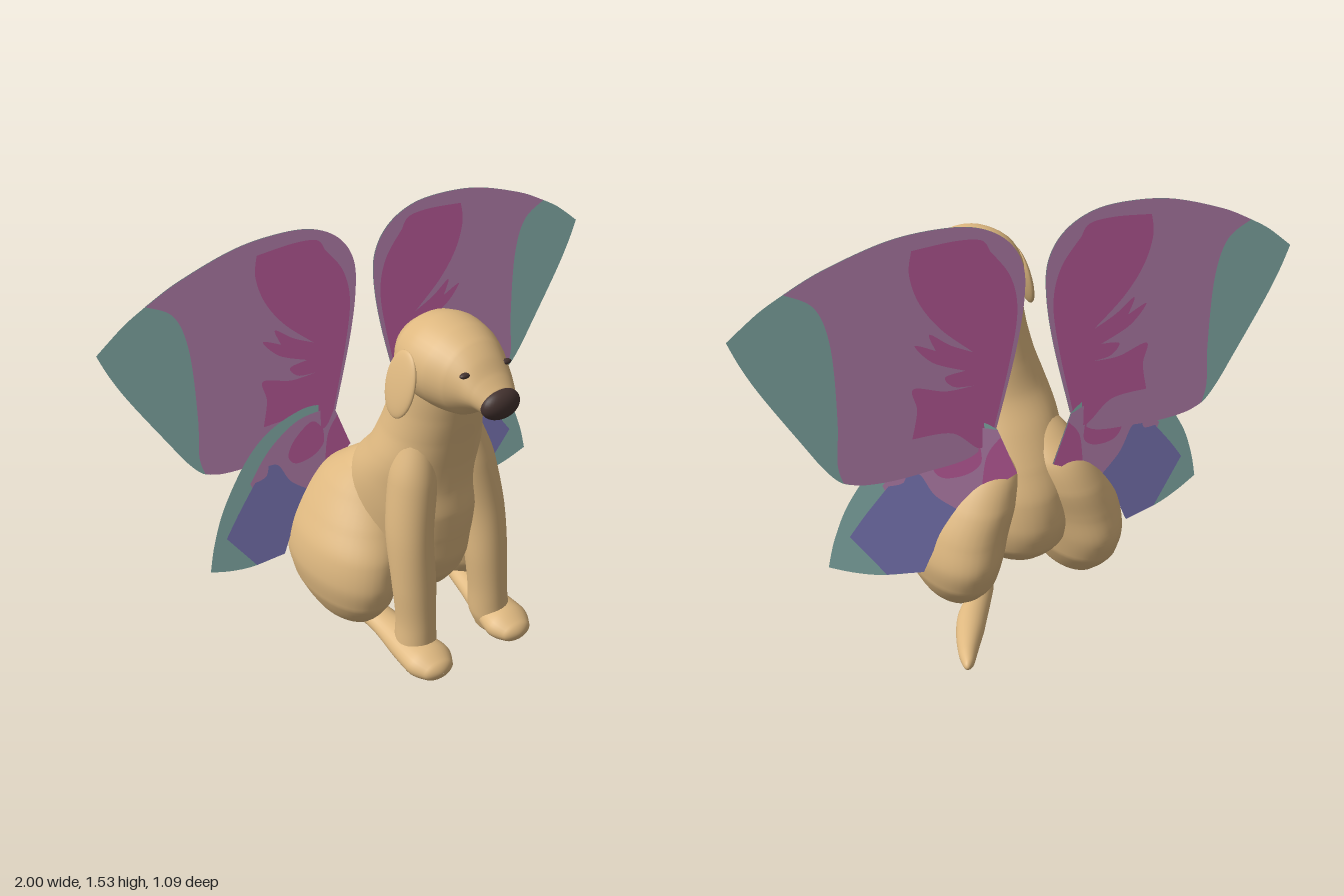
import * as THREE from 'three';
import { mergeGeometries } from 'three/addons/utils/BufferGeometryUtils.js';

const mat = (name, color, side = THREE.FrontSide) => {
  const m = new THREE.MeshStandardMaterial({ color, side });
  m.name = name;
  return m;
};

// Smooth skin through elliptical rings [x, y, z, radiusX, radius2], with rounded ends.
// Upright lofts run bottom to top; level lofts run front to back.
function loft(keys, upright, sides = 40, perKey = 8) {
  const centre = new THREE.CatmullRomCurve3(keys.map(k => new THREE.Vector3(k[0], k[1], k[2])));
  const radii = new THREE.CatmullRomCurve3(keys.slice(1, -1).map(k => new THREE.Vector3(k[3], k[4], 0)));
  const spans = keys.length - 1, rings = spans * perKey;
  const pos = [], idx = [];
  for (let i = 0; i <= rings; i++) {
    // In the first and last span the radius grows as the root of the distance
    const s = i / perKey, e = Math.min(1, s, spans - s);
    const t = s < 1 ? s * s : s > spans - 1 ? spans - e * e : s;
    const c = centre.getPoint(t / spans);
    const r = radii.getPoint(THREE.MathUtils.clamp((s - 1) / (spans - 2), 0, 1));
    const rx = Math.max(r.x * e, 0.0005), r2 = Math.max(r.y * e, 0.0005);
    for (let j = 0; j < sides; j++) {
      const a = (j / sides) * Math.PI * 2, u = rx * Math.cos(a), v = r2 * Math.sin(a);
      if (upright) pos.push(c.x + u, c.y, c.z + v);
      else pos.push(c.x + u, c.y + v, c.z);
      if (i < rings) {
        const n = (j + 1) % sides, p = i * sides, q = p + sides;
        idx.push(p + j, q + j, p + n, q + j, q + n, p + n);
      }
    }
  }
  const g = new THREE.BufferGeometry();
  g.setAttribute('position', new THREE.Float32BufferAttribute(pos, 3));
  g.setIndex(idx);
  g.computeVertexNormals();
  return g;
}

// Closed outline made of smooth runs that meet at sharp corners
function outline(side, ...runs) {
  const shape = new THREE.Shape();
  const v = p => new THREE.Vector2(p[0] * side, p[1]);
  shape.moveTo(runs[0][0][0] * side, runs[0][0][1]);
  runs.forEach((run, i) => shape.splineThru((i ? run : run.slice(1)).map(v)));
  return shape;
}

export function createModel() {
  const fur = mat('tan fur', 0xdeb880);
  const dark = mat('dark nose', 0x43322f);
  const teal = mat('wing teal', 0xa3d6d1, THREE.DoubleSide);
  const pink = mat('wing pink', 0xdc9cd2, THREE.DoubleSide);
  const magenta = mat('wing magenta', 0xe270bc, THREE.DoubleSide);
  const blue = mat('wing blue', 0x9692de, THREE.DoubleSide);

  const model = new THREE.Group();
  model.name = 'wingedDog';
  const add = (name, geometry, material, parent = model) => {
    const m = new THREE.Mesh(geometry, material);
    m.name = name;
    parent.add(m);
    return m;
  };
  const ball = (name, material, p, r, tilt = 0) => {
    const m = add(name, new THREE.SphereGeometry(1, 32, 20), material);
    m.position.set(...p);
    m.scale.set(...r);
    m.rotation.z = tilt;
  };
  // Painted wing layer: one face on each side, higher levels lie further out
  const plate = (name, shape, material, level, parent) => {
    const faces = [-1, 1].map(d => new THREE.ShapeGeometry(shape, 32).translate(0, 0, d * 0.001 * level));
    add(name, mergeGeometries(faces), material, parent);
  };

  // Torso and neck
  add('torso', loft([
    [0, 0.19, -0.02, 0, 0], [0, 0.23, -0.03, 0.15, 0.23], [0, 0.3, -0.04, 0.2, 0.29],
    [0, 0.4, -0.03, 0.22, 0.315], [0, 0.5, -0.01, 0.225, 0.31], [0, 0.6, 0.025, 0.228, 0.285],
    [0, 0.7, 0.06, 0.224, 0.24], [0, 0.8, 0.108, 0.206, 0.197], [0, 0.9, 0.14, 0.176, 0.18],
    [0, 1.0, 0.168, 0.157, 0.17], [0, 1.1, 0.19, 0.148, 0.16], [0, 1.2, 0.19, 0.135, 0.138],
    [0, 1.27, 0.19, 0.1, 0.1], [0, 1.3, 0.19, 0, 0],
  ], true), fur);

  // Head, muzzle and nose
  add('head', loft([
    [0, 1.135, 0.52, 0, 0], [0, 1.138, 0.5, 0.066, 0.048], [0, 1.157, 0.46, 0.088, 0.064],
    [0, 1.168, 0.42, 0.106, 0.096], [0, 1.17, 0.37, 0.132, 0.13], [0, 1.177, 0.3, 0.158, 0.148],
    [0, 1.18, 0.22, 0.169, 0.155], [0, 1.185, 0.14, 0.152, 0.134], [0, 1.19, 0.085, 0.11, 0.09],
    [0, 1.2, 0.052, 0, 0],
  ], false), fur);
  ball('nose', dark, [0, 1.135, 0.502], [0.073, 0.051, 0.042]);

  // Tail lying on the ground
  add('tail', loft([
    [0.12, 0.1, -0.13, 0, 0], [0.17, 0.09, -0.19, 0.05, 0.045], [0.24, 0.075, -0.28, 0.062, 0.047],
    [0.29, 0.07, -0.37, 0.055, 0.044], [0.34, 0.07, -0.47, 0.036, 0.033], [0.362, 0.07, -0.525, 0.02, 0.02],
    [0.37, 0.07, -0.543, 0, 0],
  ], false, 24), fur);

  for (const s of [1, -1]) {
    const side = s > 0 ? 'left' : 'right';
    const mirror = keys => keys.map(([x, ...rest]) => [x * s, ...rest]);

    // Haunch, front leg and long hind foot
    add(side + 'Haunch', loft(mirror([
      [0.24, 0.055, -0.07, 0, 0], [0.245, 0.1, -0.07, 0.098, 0.175], [0.245, 0.2, -0.08, 0.147, 0.262],
      [0.24, 0.3, -0.085, 0.166, 0.286], [0.215, 0.4, -0.085, 0.173, 0.27], [0.172, 0.5, -0.1, 0.163, 0.234],
      [0.13, 0.6, -0.1, 0.136, 0.18], [0.1, 0.68, -0.06, 0.1, 0.12], [0.09, 0.74, -0.03, 0, 0],
    ]), true), fur);
    add(side + 'FrontLeg', loft(mirror([
      [0.17, 0, 0.3, 0, 0], [0.172, 0.035, 0.305, 0.058, 0.07], [0.17, 0.1, 0.29, 0.074, 0.082],
      [0.165, 0.2, 0.283, 0.07, 0.08], [0.163, 0.35, 0.268, 0.078, 0.083], [0.158, 0.55, 0.235, 0.081, 0.093],
      [0.125, 0.75, 0.208, 0.085, 0.092], [0.095, 0.9, 0.185, 0.065, 0.08], [0.08, 1.0, 0.18, 0, 0],
    ]), true), fur);
    add(side + 'HindFoot', loft(mirror([
      [0.18, 0.075, 0.472, 0, 0], [0.18, 0.074, 0.45, 0.06, 0.036], [0.182, 0.078, 0.38, 0.09, 0.056],
      [0.19, 0.082, 0.28, 0.078, 0.054], [0.2, 0.095, 0.15, 0.06, 0.042], [0.22, 0.11, 0, 0.05, 0.04],
      [0.23, 0.12, -0.06, 0, 0],
    ]), false, 28), fur);

    // Floppy ear and eye
    ball(side + 'Ear', fur, [0.181 * s, 1.133, 0.215], [0.018, 0.117, 0.076], 0.25 * s);
    ball(side + 'Eye', dark, [0.083 * s, 1.226, 0.424], [0.019, 0.009, 0.012]);

    // Upper wing
    const upper = new THREE.Group();
    upper.name = side + 'UpperWing';
    upper.position.z = -0.26;
    model.add(upper);
    const inner = [[0.14, 0.8], [0.07, 1.07], [0.04, 1.25], [0.045, 1.37], [0.1, 1.46], [0.2, 1.515],
      [0.33, 1.53], [0.5, 1.515], [0.7, 1.455], [0.82, 1.4]];
    const lower = [[0.62, 0.7], [0.52, 0.69], [0.4, 0.695], [0.23, 0.715], [0.14, 0.8]];
    plate('tealTip', outline(s, inner, [[0.9, 1.355], [1, 1.28]],
      [[0.965, 1.19], [0.91, 1.08], [0.8, 0.89], [0.74, 0.79], [0.685, 0.725], [0.62, 0.7]], lower.slice(1)),
      teal, 1, upper);
    plate('pinkPanel', outline(s, inner, [[0.73, 1.34], [0.69, 1.2], [0.685, 0.95], [0.695, 0.8], [0.68, 0.723]],
      lower), pink, 2, upper);
    plate('magentaPattern', outline(s,
      [[0.15, 0.8], [0.09, 1.05], [0.065, 1.22], [0.09, 1.34], [0.16, 1.435]],
      [[0.19, 1.475], [0.28, 1.485], [0.42, 1.475]],
      [[0.43, 1.4], [0.4, 1.3], [0.33, 1.2], [0.22, 1.1]],
      [[0.3, 1.14], [0.37, 1.19], [0.35, 1.13]], [[0.42, 1.16], [0.36, 1.09], [0.25, 1.04]],
      [[0.32, 1.03], [0.29, 0.99], [0.22, 0.98]], [[0.32, 0.98], [0.43, 1.01], [0.42, 0.93], [0.44, 0.83]],
      [[0.3, 0.82], [0.2, 0.74], [0.15, 0.8]]), magenta, 3, upper);

    // Lower wing, swept slightly forward
    const low = new THREE.Group();
    low.name = side + 'LowerWing';
    low.position.z = -0.288;
    low.rotation.y = -0.14 * s;
    model.add(low);
    plate('tealBorder', outline(s,
      [[0.07, 0.62], [0.14, 0.8]], [[0.2, 0.84], [0.3, 0.855], [0.44, 0.825], [0.55, 0.745], [0.655, 0.6],
        [0.71, 0.47], [0.738, 0.36]],
      [[0.65, 0.32], [0.55, 0.29], [0.41, 0.275]], [[0.36, 0.42], [0.24, 0.52], [0.07, 0.62]]), teal, 1, low);
    plate('pinkPanel', outline(s,
      [[0.07, 0.62], [0.14, 0.8]], [[0.22, 0.82], [0.33, 0.815], [0.45, 0.75], [0.54, 0.65]],
      [[0.45, 0.42], [0.38, 0.38]], [[0.24, 0.52], [0.07, 0.62]]), pink, 2, low);
    plate('bluePatch', outline(s,
      [[0.41, 0.275], [0.35, 0.4], [0.27, 0.5]], [[0.36, 0.58], [0.41, 0.67], [0.455, 0.69]],
      [[0.47, 0.65], [0.52, 0.645]], [[0.6, 0.55], [0.66, 0.47]], [[0.6, 0.38], [0.54, 0.29]],
      [[0.41, 0.275]]), blue, 3, low);
    plate('magentaSpot', outline(s,
      [[0.2, 0.74], [0.25, 0.79], [0.33, 0.75], [0.365, 0.69], [0.33, 0.645], [0.25, 0.645], [0.2, 0.68], [0.2, 0.74]],
    ), magenta, 3, low);
    plate('magentaRoot', outline(s,
      [[0.07, 0.62], [0.13, 0.77]], [[0.18, 0.7], [0.2, 0.55]], [[0.07, 0.62]]), magenta, 3, low);
  }
  return model;
}
